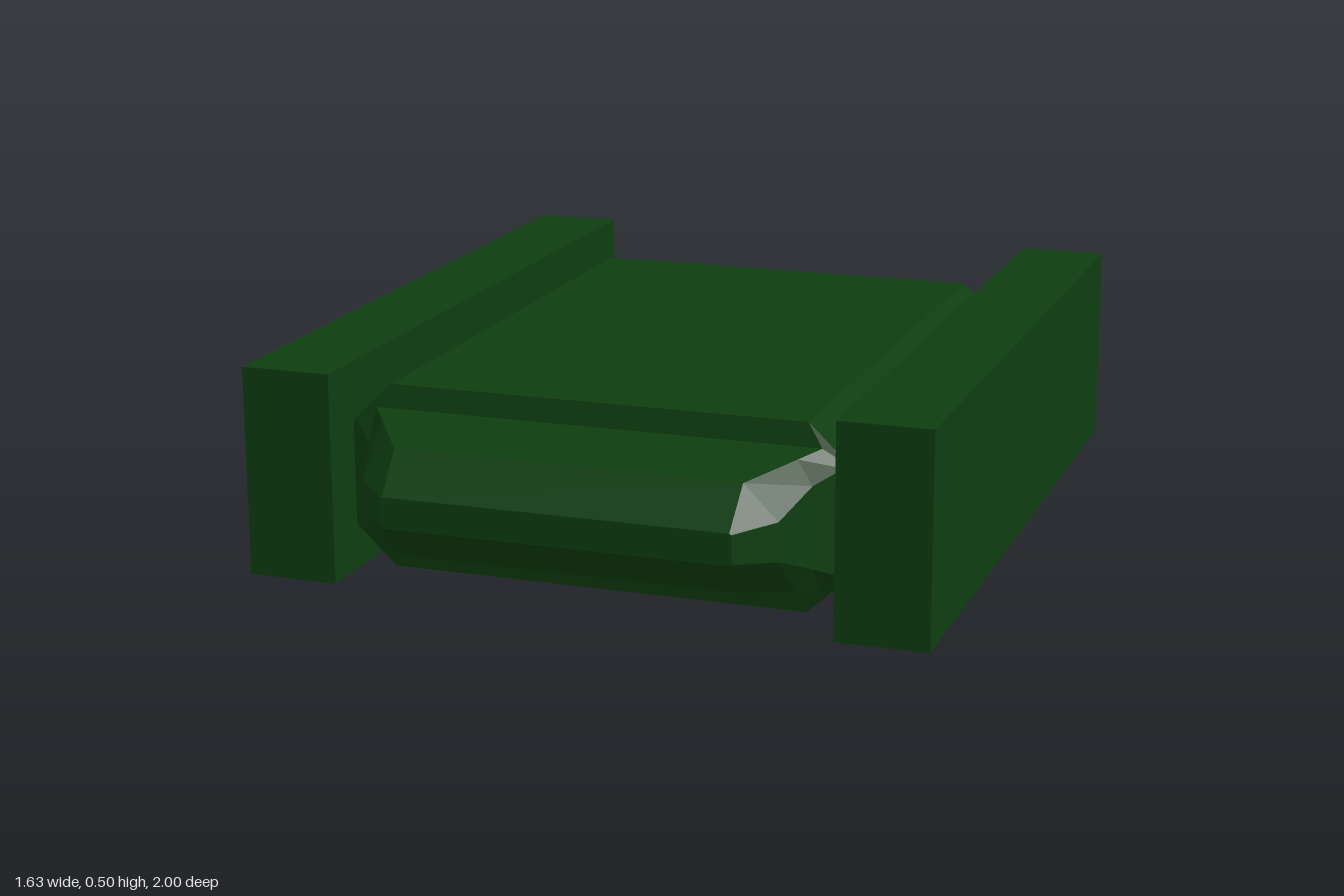
import * as THREE from 'three';

const green = new THREE.MeshStandardMaterial({ color: 0x0e3d10, flatShading: true });

// Chamfered-rectangle section: outer and inner half-widths, four heights
function section([z, outer, inner, bottom, low, high, top]) {
  return [
    [-inner, bottom, z], [inner, bottom, z], [outer, low, z], [outer, high, z],
    [inner, top, z], [-inner, top, z], [-outer, high, z], [-outer, low, z],
  ];
}

// Skin joining the sections in order of rising z, closed at both ends
function loft(rows) {
  const rings = rows.map(section);
  const n = rings[0].length;
  const index = [];
  for (let r = 0; r < rings.length - 1; r++) {
    for (let i = 0; i < n; i++) {
      const a = r * n + i, b = r * n + (i + 1) % n;
      index.push(a, b, b + n, a, b + n, a + n);
    }
  }
  const last = (rings.length - 1) * n;
  for (let i = 1; i < n - 1; i++) {
    index.push(0, i + 1, i);
    index.push(last, last + i, last + i + 1);
  }
  const geometry = new THREE.BufferGeometry();
  geometry.setAttribute('position', new THREE.Float32BufferAttribute(rings.flat(2), 3));
  geometry.setIndex(index);
  const faceted = geometry.toNonIndexed();
  faceted.computeVertexNormals();
  return faceted;
}

export function createModel() {
  const model = new THREE.Group();
  model.name = 'trackedHull';

  // Hull: tail block, long deck, then the wedge-shaped nose
  const hull = new THREE.Mesh(loft([
    [-1.0, 0.45, 0.45, 0.15, 0.16, 0.32, 0.33],
    [-0.96, 0.495, 0.45, 0.11, 0.15, 0.33, 0.37],
    [-0.84, 0.495, 0.45, 0.11, 0.15, 0.33, 0.37],
    [-0.76, 0.55, 0.51, 0.07, 0.12, 0.35, 0.41],
    [-0.70, 0.6, 0.5, 0.015, 0.11, 0.36, 0.455],
    [0.735, 0.6, 0.5, 0.015, 0.11, 0.36, 0.455],
    [0.745, 0.585, 0.535, 0.07, 0.11, 0.36, 0.40],
    [0.80, 0.53, 0.495, 0.085, 0.14, 0.33, 0.387],
    [0.92, 0.49, 0.41, 0.11, 0.19, 0.28, 0.36],
    [1.0, 0.41, 0.405, 0.197, 0.2, 0.267, 0.27],
  ]), green);
  hull.name = 'hull';
  model.add(hull);

  // Track blocks on both sides
  for (const [name, side] of [['leftTrack', 1], ['rightTrack', -1]]) {
    const track = new THREE.Mesh(new THREE.BoxGeometry(0.217, 0.5, 1.845), green);
    track.position.set(side * 0.7065, 0.25, -0.0625);
    track.name = name;
    model.add(track);
  }
  return model;
}
